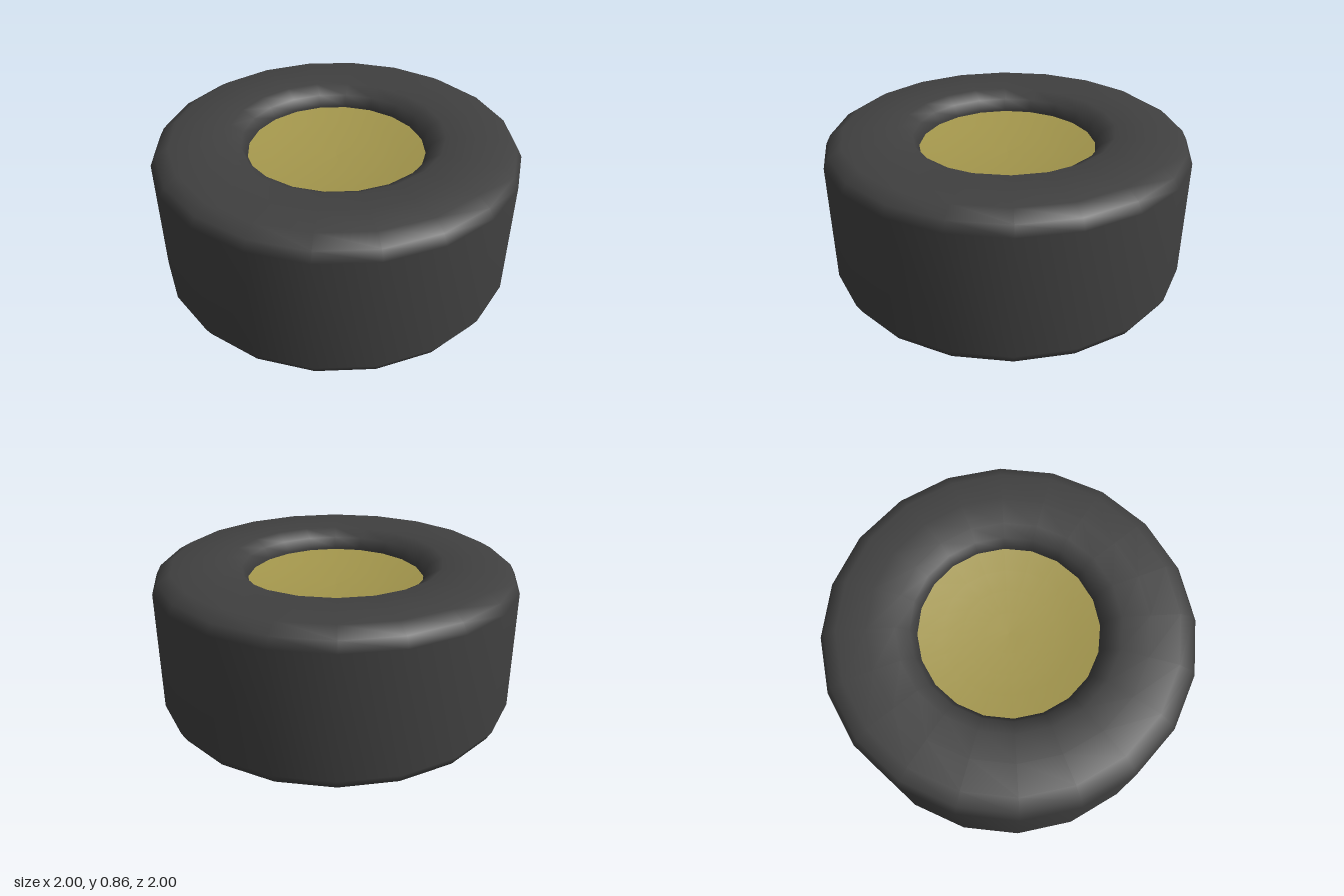
import * as THREE from 'three';

const SIDES = 20;
const HALF_HEIGHT = 0.432;

// Lathe with a flat side facing each axis; points are [radius, height from the middle]
function turned(name, points, color) {
  const profile = points.map(([r, y]) => new THREE.Vector2(r, y + HALF_HEIGHT));
  const geometry = new THREE.LatheGeometry(profile, SIDES, Math.PI / SIDES);
  const mesh = new THREE.Mesh(geometry, new THREE.MeshStandardMaterial({ color }));
  mesh.name = name;
  return mesh;
}

// Adds the mirrored copy of a lower half profile, so it runs on to the other side
const mirrored = (half) => [...half, ...half.map(([r, y]) => [r, -y]).reverse()];

export function createModel() {
  const group = new THREE.Group();
  group.name = 'wheel';

  // Tyre: rounded rectangular section, starting and ending mid sidewall
  const outer = mirrored([[0.75, -0.432], [0.912, -0.432], [0.984, -0.39], [1.0125, -0.337]]);
  const inner = mirrored([[0.6, -0.432], [0.528, -0.39], [0.496, -0.33]]).reverse();
  group.add(turned('tyre', [...outer, ...inner, [0.75, -0.432]], 0x404040));

  // Hub: a shallow dished disc on each side
  const dish = [[0.496, 0.322], [0.37, 0.3], [0.25, 0.286], [0.12, 0.277], [0, 0.274]];
  group.add(turned('upperHubDisc', dish, 0xa3964c));
  group.add(turned('lowerHubDisc', dish.map(([r, y]) => [r, -y]).reverse(), 0xa3964c));

  return group;
}
